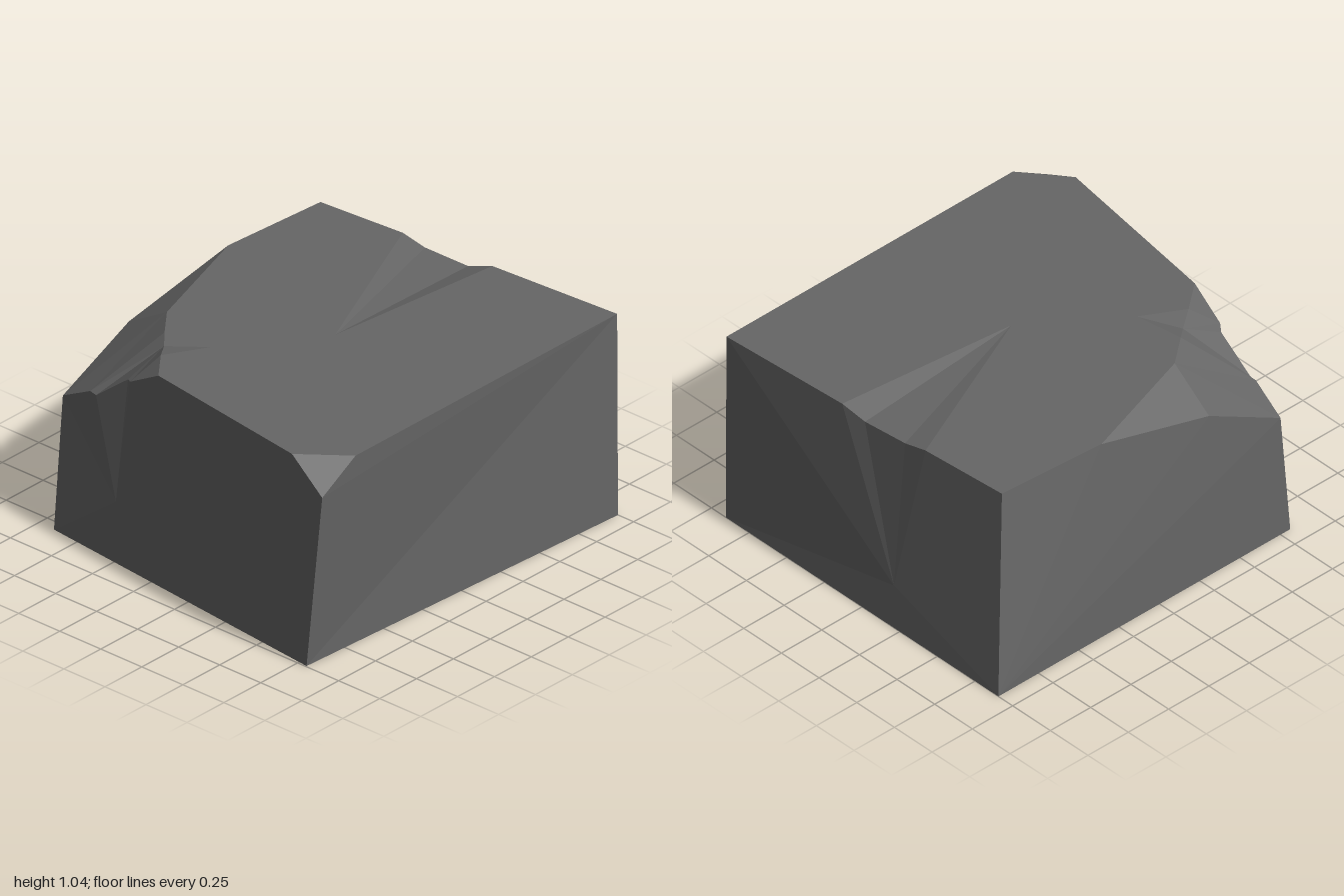
import * as THREE from 'three';

const TOP = 1.04;

// Corner points of the block
const P = {
  // base
  frontLeftBase: [-0.905, 0, 0.81], frontRightBase: [0.8, 0, 0.995],
  backRightBase: [0.905, 0, -1], backLeftBase: [-0.905, 0, -1],
  // top rim
  backLeft: [-0.8, TOP, -0.88], backRight: [0.9, TOP, -1],
  chipBack: [-0.84, TOP, -0.3], chipMid: [-0.63, TOP, 0.35], chipFront: [-0.26, TOP, 0.82],
  // large broken corner
  breakSide: [-0.88, 0.89, 0.33], breakLow: [-0.905, 0.67, 0.75],
  // small broken corner
  nickFront: [0.68, TOP, 0.96], nickSide: [0.905, TOP, 0.78], nickLow: [0.9, 0.91, 1],
  // crack over the broken corner and down the front
  crackTop: [-0.26, TOP, 0.46], crackL: [-0.51, TOP, 0.5], crackMid: [-0.45, 1.02, 0.57],
  crackR: [-0.38, TOP, 0.67], rimL: [-0.72, 0.77, 0.77], rimMid: [-0.68, 0.765, 0.775],
  rimDeep: [-0.49, 0.915, 0.77], rimR: [-0.45, 0.93, 0.8],
  crackBend: [-0.53, 0.45, 0.8], crackEnd: [-0.51, 0.3, 0.83],
  // groove across the back edge
  grooveTop: [0.08, TOP, 0], grooveR: [0.18, TOP, -0.955], grooveDeepR: [0.05, 1.0, -0.935],
  grooveDeepL: [-0.2, 1.01, -0.92], grooveL: [-0.33, TOP, -0.915], grooveEnd: [-0.19, 0.22, -0.98],
};

// Each part is a list of outlines, fanned from their first corner
const PARTS = {
  topFace: [
    'grooveTop grooveL backLeft chipBack chipMid crackL crackTop',
    'grooveTop crackTop crackR chipFront nickFront nickSide backRight grooveR',
  ],
  frontWall: ['crackEnd rimL breakLow frontLeftBase frontRightBase nickLow nickFront chipFront rimR'],
  rightWall: ['backLeftBase frontLeftBase breakLow breakSide chipBack backLeft'],
  leftWall: ['backRight nickSide nickLow frontRightBase backRightBase'],
  backWall: ['grooveEnd grooveR backRight backRightBase backLeftBase backLeft grooveL'],
  baseFace: ['frontLeftBase backLeftBase backRightBase frontRightBase'],
  brokenCorner: [
    'chipMid chipBack breakSide',
    'chipMid breakSide breakLow rimL crackL',
    'crackR rimR chipFront',
  ],
  cornerNick: ['nickSide nickFront nickLow'],
  cornerCrack: [
    'crackTop crackL crackMid crackR',
    'crackMid crackL rimL rimMid',
    'crackMid rimMid rimDeep rimR crackR',
  ],
  frontCrack: ['crackEnd rimR rimDeep crackBend', 'crackEnd crackBend rimDeep rimMid rimL'],
  backGroove: [
    'grooveTop grooveR grooveDeepR grooveDeepL grooveL',
    'grooveEnd grooveL grooveDeepL grooveDeepR grooveR',
  ],
};

function fanGeometry(outlines) {
  const pos = [];
  for (const outline of outlines) {
    const pts = outline.split(' ').map((name) => P[name]);
    for (let i = 1; i < pts.length - 1; i++) pos.push(...pts[0], ...pts[i], ...pts[i + 1]);
  }
  const g = new THREE.BufferGeometry();
  g.setAttribute('position', new THREE.Float32BufferAttribute(pos, 3));
  g.computeVertexNormals();
  return g;
}

export function createModel() {
  const stone = new THREE.MeshStandardMaterial({ color: 0x666666, flatShading: true });
  stone.name = 'stone grey';
  const block = new THREE.Group();
  block.name = 'stoneBlock';
  for (const [name, outlines] of Object.entries(PARTS)) {
    const mesh = new THREE.Mesh(fanGeometry(outlines), stone);
    mesh.name = name;
    block.add(mesh);
  }
  return block;
}
